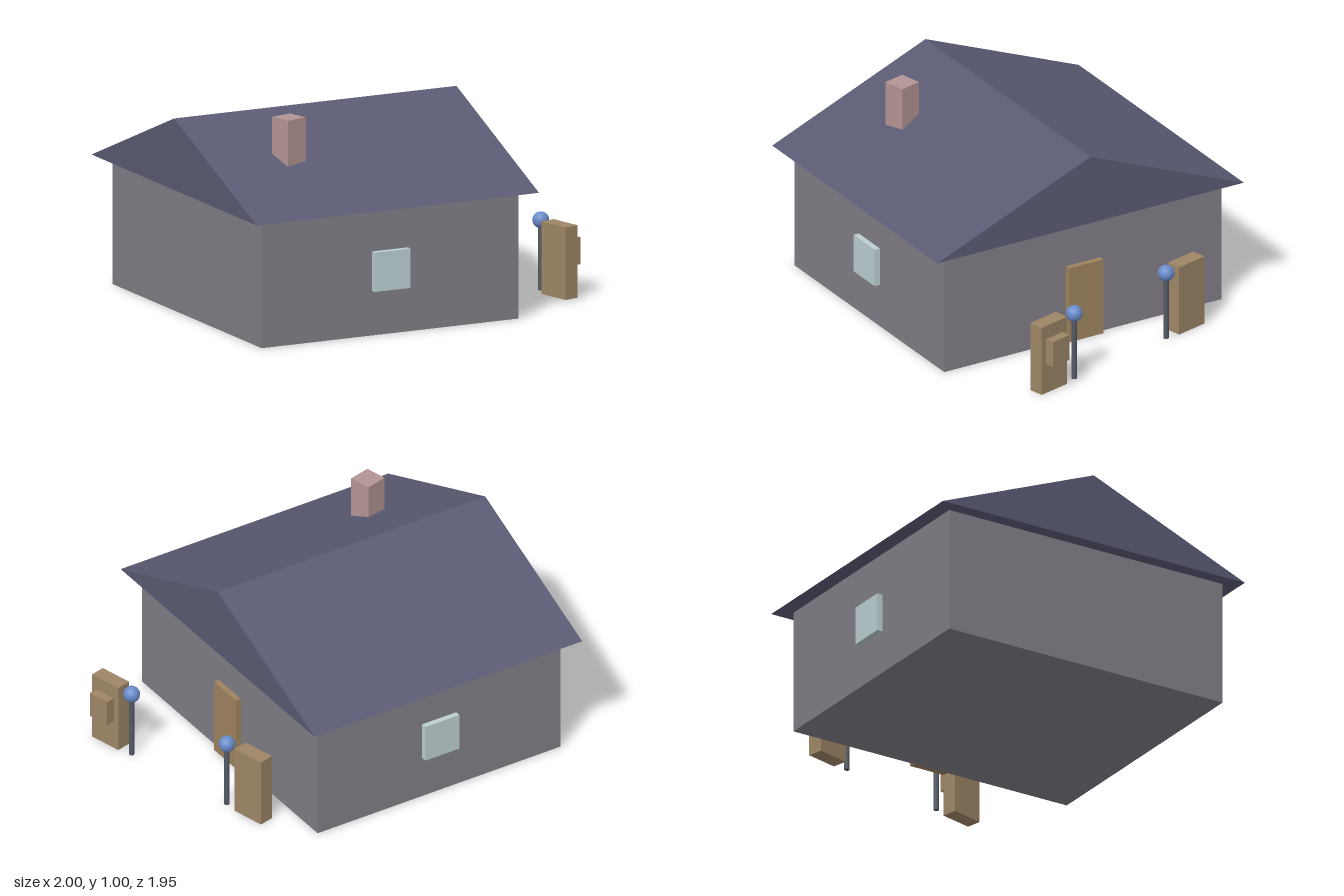
import * as THREE from 'three';

const mat = (name, color) => {
  const m = new THREE.MeshStandardMaterial({ color });
  m.name = name;
  return m;
};

export function createModel() {
  const wall = mat('wall grey', 0x807e86);
  const roofBlue = mat('roof slate', 0x5a5a74);
  const brick = mat('chimney pink', 0xb39494);
  const glass = mat('window pale', 0xbccfd2);
  const wood = mat('wood brown', 0x9e8666);
  const doorWood = mat('door brown', 0x9e845e);
  const metal = mat('pole grey', 0x555a64);
  const globe = mat('lamp blue', 0x6a8ccb);

  const model = new THREE.Group();
  model.name = 'house';

  const add = (parent, name, geometry, material, x, y, z) => {
    const mesh = new THREE.Mesh(geometry, material);
    mesh.name = name;
    mesh.position.set(x, y, z);
    parent.add(mesh);
    return mesh;
  };
  // Box given by its size, centre in x and z, and base height
  const box = (parent, name, [w, h, d], material, x, base, z) =>
    add(parent, name, new THREE.BoxGeometry(w, h, d), material, x, base + h / 2, z);

  // Building, turned on its plot
  const building = new THREE.Group();
  building.name = 'building';
  building.position.z = 0.043;
  building.rotation.y = -0.246;
  model.add(building);

  const W = 1.526, D = 1.358, H = 0.615;
  box(building, 'walls', [W, H, D], wall, 0, 0, 0);

  // Gable roof: a triangular prism overhanging all walls
  const rw = 0.843, rd = 1.495;
  const gable = new THREE.Shape([
    new THREE.Vector2(-rw, 0), new THREE.Vector2(rw, 0), new THREE.Vector2(0, 0.345),
  ]);
  const roof = new THREE.ExtrudeGeometry(gable, { depth: rd, bevelEnabled: false });
  add(building, 'roof', roof, roofBlue, 0, H, -rd / 2);

  // Windows on both sides, door at the back
  for (const s of [-1, 1]) {
    box(building, s > 0 ? 'leftWindow' : 'rightWindow', [0.056, 0.19, 0.19], glass, s * W / 2, 0.215, 0);
  }
  box(building, 'door', [0.19, 0.385, 0.056], doorWood, 0, 0, -D / 2);

  // Chimney, square to the plot
  box(model, 'chimney', [0.112, 0.3, 0.112], brick, 0.285, 0.7, 0.46);

  // Yard pieces behind the house
  box(model, 'rightGatePost', [0.17, 0.35, 0.075], wood, -0.245, 0, -0.892);
  box(model, 'leftGatePost', [0.17, 0.35, 0.075], wood, 0.675, 0, -0.892);
  box(model, 'mailbox', [0.112, 0.13, 0.055], wood, 0.675, 0.15, -0.947);

  // Lamps
  for (const x of [-0.092, 0.522]) {
    const lamp = new THREE.Group();
    lamp.name = 'lamp';
    lamp.position.set(x, 0, -0.91);
    model.add(lamp);
    add(lamp, 'lampPole', new THREE.CylinderGeometry(0.013, 0.013, 0.32, 10), metal, 0, 0.16, 0);
    add(lamp, 'lampGlobe', new THREE.SphereGeometry(0.04, 14, 10), globe, 0, 0.338, 0);
  }

  return model;
}
